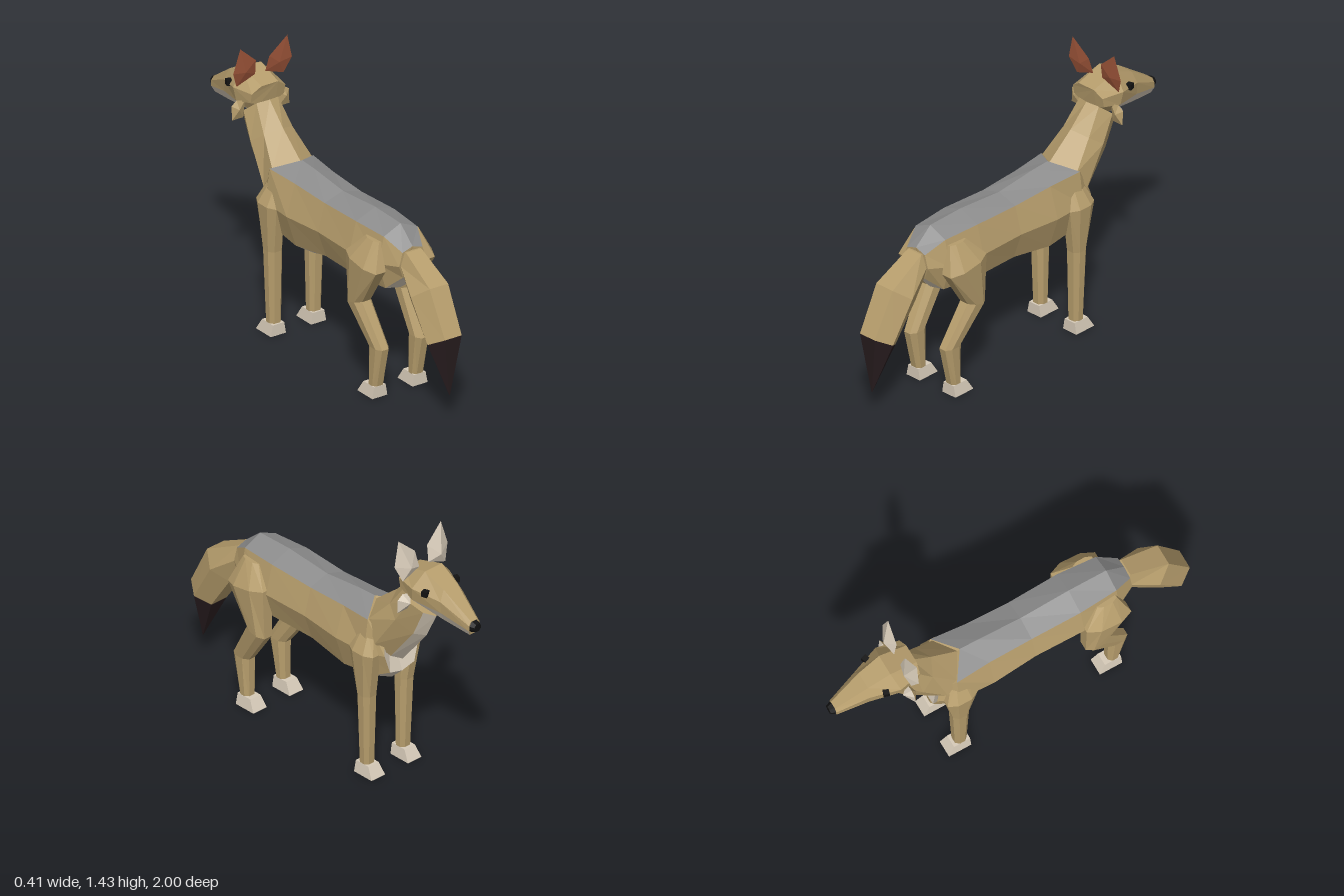
import * as THREE from 'three';

const mat = (name, color) => Object.assign(new THREE.MeshStandardMaterial({ color, flatShading: true }), { name });

export function createModel() {
  const tan = mat('tan fur', 0xb69d6c);
  const grey = mat('grey back', 0x8d8d8d);
  const pale = mat('pale fur', 0xd6cab8);
  const rust = mat('rust ear', 0xa0563a);
  const dark = mat('dark tail tip', 0x271c1e);
  const black = mat('black', 0x121212);

  const group = new THREE.Group();
  group.name = 'animal';

  // Mesh from triangles listed per material, turned outward if needed
  function solid(name, buckets, parent = group) {
    const mats = [...buckets.keys()];
    let tris = mats.map((m) => buckets.get(m));
    let volume = 0;
    const c = new THREE.Vector3();
    tris.flat().forEach(([p, q, r]) => {
      volume += new THREE.Vector3(...p).dot(c.crossVectors(new THREE.Vector3(...q), new THREE.Vector3(...r)));
    });
    if (volume < 0) tris = tris.map((list) => list.map(([p, q, r]) => [p, r, q]));
    const geo = new THREE.BufferGeometry();
    geo.setAttribute('position', new THREE.Float32BufferAttribute(tris.flat(3), 3));
    let start = 0;
    tris.forEach((list, i) => {
      geo.addGroup(start, list.length * 3, i);
      start += list.length * 3;
    });
    geo.computeVertexNormals();
    const mesh = new THREE.Mesh(geo, mats);
    mesh.name = name;
    parent.add(mesh);
    return mesh;
  }

  const adder = (buckets) => (m, ...tri) => {
    if (!buckets.has(m)) buckets.set(m, []);
    buckets.get(m).push(tri);
  };

  // Closed skin through rings of points; colour(segment, strip) picks the material
  function loft(name, rings, colour, caps = [tan, tan]) {
    const buckets = new Map();
    const add = adder(buckets);
    const n = rings[0].length;
    for (let i = 0; i < rings.length - 1; i++) {
      for (let j = 0; j < n; j++) {
        const k = (j + 1) % n, A = rings[i], B = rings[i + 1], m = colour(i, j);
        add(m, A[j], A[k], B[k]);
        add(m, A[j], B[k], B[j]);
      }
    }
    const last = rings[rings.length - 1];
    for (let j = 1; j < n - 1; j++) {
      add(caps[0], rings[0][0], rings[0][j + 1], rings[0][j]);
      add(caps[1], last[0], last[j], last[j + 1]);
    }
    return solid(name, buckets);
  }

  // Half outline on +x completed to a symmetric ring
  const flip = ([x, y, z]) => [-x, y, z];
  const whole = (half) => [...half, ...half.filter((p) => p[0] > 0).reverse().map(flip)];

  // Torso: spine, shoulder line, flank, lower flank, belly
  const torso = [
    [[0, .82, .66], [.06, .80, .66], [.08, .73, .66], [.05, .66, .65], [0, .65, .64]],
    [[0, .905, .56], [.10, .86, .56], [.13, .72, .56], [.09, .58, .56], [0, .56, .56]],
    [[0, .91, .35], [.115, .865, .35], [.155, .71, .35], [.11, .57, .35], [0, .52, .35]],
    [[0, .89, .08], [.11, .855, .08], [.15, .71, .08], [.10, .565, .08], [0, .52, .08]],
    [[0, .915, -.16], [.115, .865, -.16], [.165, .70, -.16], [.11, .53, -.16], [0, .46, -.16]],
    [[0, .92, -.26], [.13, .875, -.35], [.155, .70, -.35], [.11, .56, -.37], [0, .51, -.38]],
    [[0, .84, -.36], [.09, .81, -.42], [.11, .70, -.45], [.08, .60, -.455], [0, .58, -.455]],
  ].map(whole);
  loft('torso', torso, (i, j) => (j === 3 || j === 4 ? pale : (j === 0 || j === 7) && i < 5 ? grey : tan), [tan, pale]);

  // Neck with pale throat
  const neck = [
    [[0, .89, -.25], [.12, .87, -.34], [.13, .76, -.40], [.07, .69, -.45], [0, .65, -.46]],
    [[0, 1.03, -.42], [.085, 1.0, -.46], [.115, .95, -.53], [.06, .88, -.60], [0, .86, -.63]],
    [[0, 1.14, -.53], [.065, 1.13, -.55], [.10, 1.08, -.61], [.06, 1.03, -.67], [0, 1.0, -.70]],
  ].map(whole);
  loft('neck', neck, (i, j) => (j === 3 || j === 4 ? pale : tan));

  // Head and muzzle: crown, cheek, lip, jaw
  const head = [
    [[.05, 1.225, -.53], [.10, 1.19, -.54], [.10, 1.14, -.55], [.05, 1.12, -.55]],
    [[.055, 1.27, -.68], [.125, 1.19, -.66], [.115, 1.12, -.65], [.06, 1.07, -.62]],
    [[.045, 1.215, -.80], [.075, 1.16, -.81], [.07, 1.095, -.81], [.045, 1.045, -.80]],
    [[.02, 1.10, -.97], [.035, 1.08, -.97], [.035, 1.05, -.97], [.02, 1.02, -.96]],
  ].map(whole);
  loft('head', head, (i, j) => (i > 0 && (j === 2 || j === 4) ? pale : tan));

  // Nose
  loft('nose', [[-.965, 1], [-.995, .65]].map(([z, s]) => whole(
    [[.015, .032], [.034, .01], [.034, -.01], [.015, -.03]].map(([x, y]) => [x * s, 1.067 + y * s, z]))),
  () => black, [black, black]);

  // Tail with dark tip
  const tail = [
    [[.04, .80, .62], [.07, .745, .62], [.04, .68, .62]],
    [[.045, .80, .67], [.07, .73, .66], [.04, .65, .65]],
    [[.055, .69, .88], [.11, .63, .80], [.055, .575, .72]],
    [[.05, .46, 1.0], [.10, .42, .925], [.05, .38, .855]],
    [[.001, .14, .97], [.002, .14, .968], [.001, .14, .966]],
  ].map(whole);
  loft('tail', tail, (i) => (i === 3 ? dark : tan), [tan, dark]);

  // Eight-sided leg rings: height, inner x, outer x, rear z, front z, rear lift
  const legRing = (side) => ([y, x0, x1, z0, z1, lift = 0]) => {
    const cx = (x0 + x1) / 2, cz = (z0 + z1) / 2, rx = (x1 - x0) / 2, rz = (z1 - z0) / 2;
    return [[1, .45], [.5, 1], [-.5, 1], [-1, .45], [-1, -.45], [-.5, -1], [.5, -1], [1, -.45]]
      .map(([a, b]) => [side * (cx + a * rx), y - b * lift, cz + b * rz]);
  };
  const hind = [
    [.83, .08, .135, .55, .44],
    [.71, .09, .205, .60, .35, -.02],
    [.475, .09, .19, .47, .35, .015],
    [.27, .08, .157, .60, .49],
    [.045, .085, .152, .55, .49],
  ];
  const fore = [
    [.80, .08, .13, -.28, -.38],
    [.70, .085, .185, -.25, -.42],
    [.45, .08, .165, -.29, -.38],
    [.045, .085, .152, -.30, -.365],
  ];

  for (const side of [1, -1]) {
    const label = side > 0 ? 'left' : 'right';
    loft(label + 'HindLeg', hind.map(legRing(side)), () => tan);
    loft(label + 'ForeLeg', fore.map(legRing(side)), () => tan);

    // Paws
    for (const [part, z] of [['HindPaw', .555], ['ForePaw', -.29]]) {
      const box = (y, x0, x1, z0, z1) => [[x0, y, z0], [x1, y, z0], [x1, y, z1], [x0, y, z1]].map(([x, v, w]) => [side * x, v, w]);
      loft(label + part, [box(0, .075, .165, z, z - .125), box(.06, .085, .153, z, z - .09)], () => pale, [pale, pale]);
    }

    // Ears and cheek tufts: a rim with a bulging pale front and a coloured back
    const leaf = (name, rim, front, back, backMat) => {
      const buckets = new Map();
      const add = adder(buckets);
      const m = ([x, y, z]) => [side * x, y, z];
      rim.forEach((p, i) => {
        const q = rim[(i + 1) % rim.length];
        add(pale, m(p), m(q), m(front));
        add(backMat, m(q), m(p), m(back));
      });
      solid(label + name, buckets);
    };
    leaf('Ear', [[.14, 1.43, -.58], [.175, 1.30, -.59], [.14, 1.215, -.612], [.03, 1.255, -.61], [.04, 1.34, -.59]],
      [.098, 1.28, -.63], [.10, 1.29, -.588], rust);
    leaf('CheekTuft', [[.09, 1.13, -.61], [.14, 1.143, -.61], [.172, 1.12, -.61], [.17, 1.045, -.605], [.105, 1.045, -.605]],
      [.125, 1.10, -.65], [.14, 1.10, -.585], tan);

    // Eyes
    const eye = new THREE.Mesh(new THREE.BoxGeometry(.03, .03, .03), black);
    eye.name = label + 'Eye';
    eye.position.set(side * .1, 1.185, -.73);
    eye.rotation.y = side * .3;
    group.add(eye);
  }
  return group;
}
